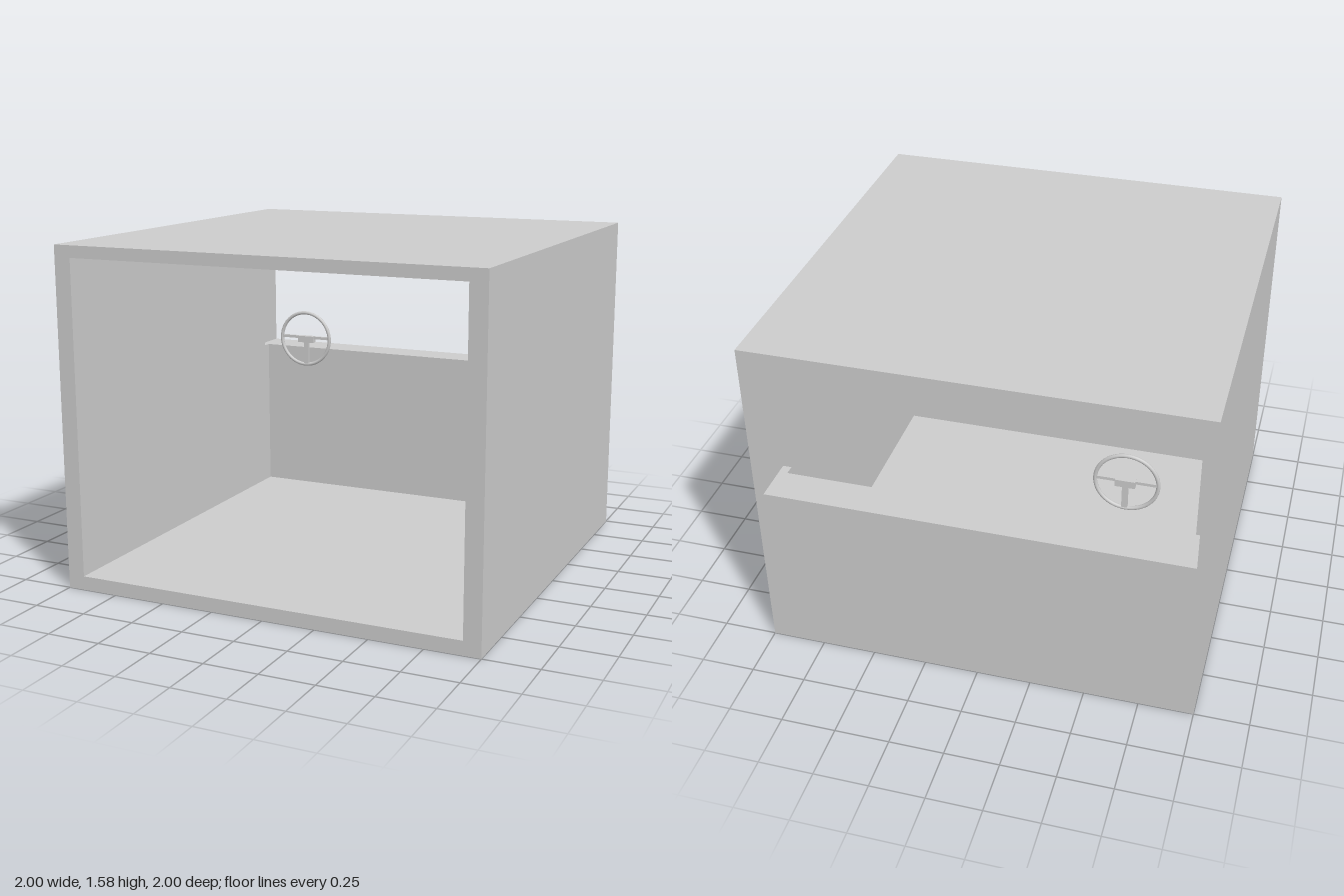
import * as THREE from 'three';
import { mergeGeometries } from 'three/addons/utils/BufferGeometryUtils.js';

const material = () => new THREE.MeshStandardMaterial({ color: 0xcccccc });

// Counter-clockwise rectangle outline, symmetric in x
const rect = (w, y0, y1) => [[-w, y0], [w, y0], [w, y1], [-w, y1]].map(p => new THREE.Vector2(...p));

// Strip of walls along an outline between two depths, facing out or in
function band(outline, z0, z1, inward) {
  const pts = inward ? [...outline].reverse() : outline;
  const pos = [];
  pts.forEach((a, i) => {
    const b = pts[(i + 1) % pts.length];
    pos.push(a.x, a.y, z0, b.x, b.y, z0, b.x, b.y, z1);
    pos.push(a.x, a.y, z0, b.x, b.y, z1, a.x, a.y, z1);
  });
  const g = new THREE.BufferGeometry();
  g.setAttribute('position', new THREE.Float32BufferAttribute(pos, 3));
  g.computeVertexNormals();
  return g;
}

// Flat face at depth z, looking to the front or the back
function face(outline, hole, z, toBack) {
  const shape = new THREE.Shape(outline);
  if (hole) shape.holes.push(new THREE.Path(hole));
  const g = new THREE.ShapeGeometry(shape).toNonIndexed();
  g.deleteAttribute('uv');
  if (toBack) g.rotateY(Math.PI);
  return g.translate(0, 0, z);
}

function createBody() {
  const inW = 0.92, floor = 0.065, ceiling = 1.525;
  const winW = 0.96, sill = 0.84, lintel = 1.39;
  const backZ = -0.83, notchZ = -0.785;
  const outer = rect(1, 0, 1.58);
  const room = rect(inW, floor, ceiling);
  const opening = rect(winW, sill, lintel);
  // Room outline widened where the window cuts into the side walls
  const notched = [
    [-inW, floor], [inW, floor], [inW, sill], [winW, sill], [winW, lintel], [inW, lintel],
    [inW, ceiling], [-inW, ceiling], [-inW, lintel], [-winW, lintel], [-winW, sill], [-inW, sill],
  ].map(p => new THREE.Vector2(...p));
  const notchEnd = [[inW, sill], [winW, sill], [winW, lintel], [inW, lintel]].map(p => new THREE.Vector2(...p));

  const geometry = mergeGeometries([
    band(outer, -1, 1, false),
    face(outer, room, 1, false),
    band(room, notchZ, 1, true),
    band(notched, backZ, notchZ, true),
    face(rect(inW, floor, sill), null, backZ, false),
    face(rect(inW, lintel, ceiling), null, backZ, false),
    face(notchEnd, null, notchZ, true),
    face(notchEnd.map(p => new THREE.Vector2(-p.x, p.y)).reverse(), null, notchZ, true),
    band(opening, -1, backZ, true),
    face(outer, opening, -1, true),
  ]);
  const body = new THREE.Mesh(geometry, material());
  body.name = 'cabinShell';
  return body;
}

function createSteeringWheel() {
  const wheel = new THREE.Group();
  wheel.name = 'steeringWheel';
  const add = (name, geometry, x = 0, y = 0) => {
    const mesh = new THREE.Mesh(geometry, material());
    mesh.name = name;
    mesh.position.set(x, y, 0);
    wheel.add(mesh);
  };
  add('rim', new THREE.TorusGeometry(0.14, 0.009, 12, 48));
  add('hub', new THREE.BoxGeometry(0.09, 0.034, 0.03), 0.005, -0.002);
  add('lowerSpoke', new THREE.BoxGeometry(0.027, 0.117, 0.014), 0.005, -0.077);
  for (const side of [-1, 1])
    add(side > 0 ? 'leftSpoke' : 'rightSpoke', new THREE.BoxGeometry(0.1, 0.014, 0.014), side * 0.088, 0.008);
  wheel.position.set(-0.583, 0.93, -0.62);
  return wheel;
}

export function createModel() {
  const model = new THREE.Group();
  model.name = 'cabin';
  model.add(createBody(), createSteeringWheel());
  return model;
}
